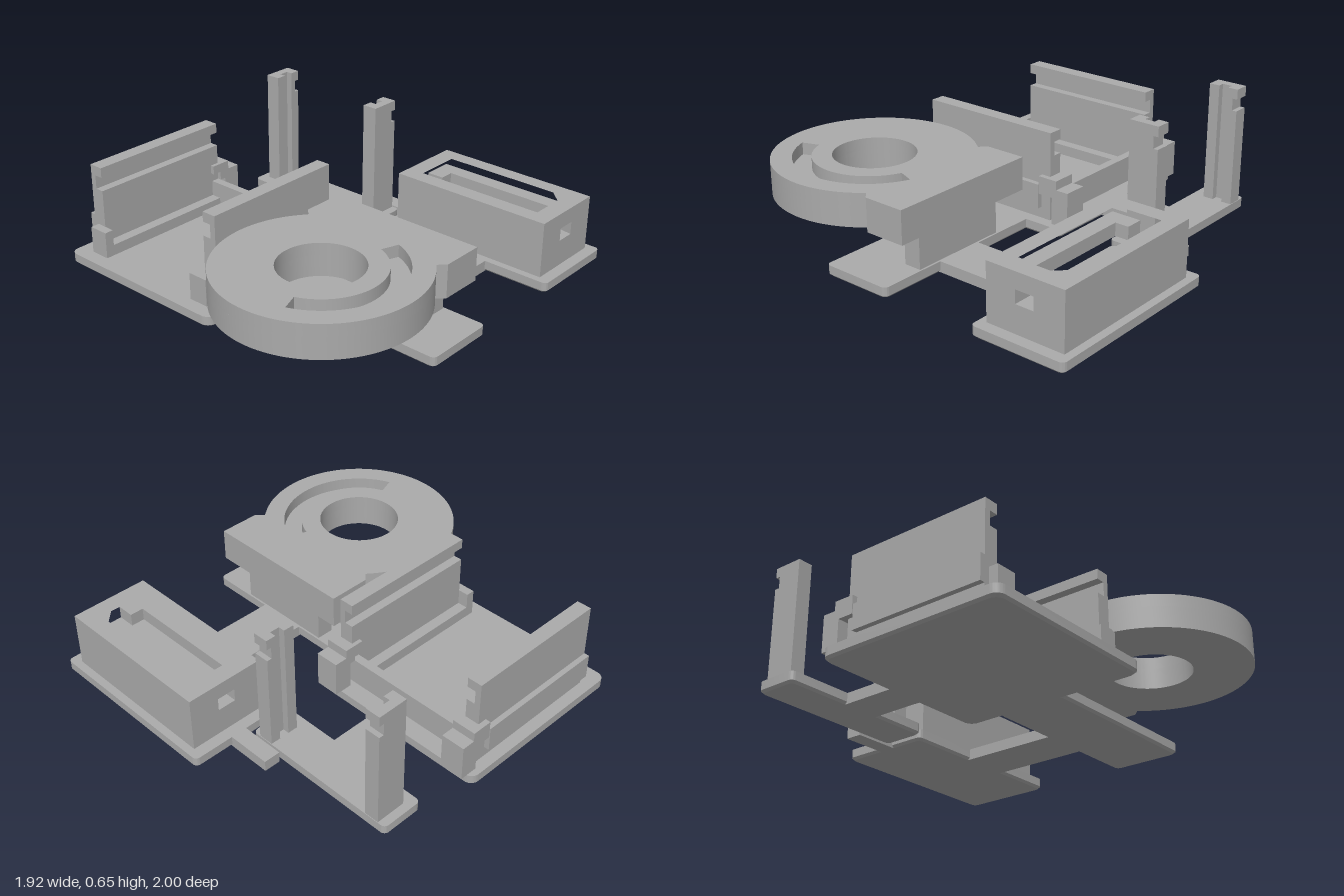
import * as THREE from 'three';
import { toCreasedNormals } from 'three/addons/utils/BufferGeometryUtils.js';

const grey = new THREE.MeshStandardMaterial({ color: 0xaaaaaa });
grey.name = 'plain grey';

export function createModel() {
  const model = new THREE.Group();
  model.name = 'snapFitPlates';

  function add(name, geometry, parent = model) {
    const mesh = new THREE.Mesh(geometry, grey);
    mesh.name = name;
    parent.add(mesh);
    return mesh;
  }
  // Block given by its limits on each axis
  function block(name, x0, x1, y0, y1, z0, z1, parent) {
    const g = new THREE.BoxGeometry(x1 - x0, y1 - y0, z1 - z0);
    g.translate((x0 + x1) / 2, (y0 + y1) / 2, (z0 + z1) / 2);
    return add(name, g, parent);
  }
  // Plan outline (shape y = -z) raised from y0 to y1
  function raise(name, shape, y0, y1, parent) {
    let g = new THREE.ExtrudeGeometry(shape, { depth: y1 - y0, bevelEnabled: false, curveSegments: 64 });
    g.rotateX(-Math.PI / 2).translate(0, y0, 0);
    return add(name, toCreasedNormals(g, 0.5), parent);
  }
  const plan = (pts) => pts.map(([x, z]) => new THREE.Vector2(x, -z));

  const T = 0.055; // plate thickness

  // Rounded plate with a small chamfer round its underside
  function plate(name, x0, x1, z0, z1, r) {
    const w = (x1 - x0) / 2, d = (z1 - z0) / 2, b = 0.012;
    const s = new THREE.Shape();
    s.absarc(w - r, d - r, r, 0, Math.PI / 2);
    s.absarc(-w + r, d - r, r, Math.PI / 2, Math.PI);
    s.absarc(-w + r, -d + r, r, Math.PI, Math.PI * 1.5);
    s.absarc(w - r, -d + r, r, Math.PI * 1.5, Math.PI * 2);
    const g = new THREE.ExtrudeGeometry(s, { depth: T, steps: 2, bevelEnabled: false, curveSegments: 6 });
    g.rotateX(-Math.PI / 2);
    const p = g.attributes.position;
    for (let i = 0; i < p.count; i++) {
      const y = p.getY(i);
      if (y < T * 0.25) {
        p.setX(i, p.getX(i) * (w - b) / w);
        p.setZ(i, p.getZ(i) * (d - b) / d);
      } else if (y < T * 0.75) p.setY(i, b);
    }
    g.translate((x0 + x1) / 2, 0, (z0 + z1) / 2);
    add(name, toCreasedNormals(g, 0.5));
  }

  // Plates and the strips joining them
  plate('trayPlate', -0.96, 0.01, -0.22, 0.75, 0.045);
  plate('postPlate', -0.89, -0.06, -0.695, -0.475, 0.025);
  plate('boxPlate', -0.02, 0.955, -1, -0.52, 0.025);
  plate('ringPlate', -0.02, 0.955, -0.03, 0.34, 0.025);
  block('trayNeck', -0.555, -0.36, 0, T, -0.5, -0.2);
  block('boxNeck', 0.355, 0.61, 0, T, -0.54, 0);
  block('sideArm', -0.245, 0, 0, T, -0.79, -0.705);

  // Tray: rear wall and mirrored side walls with clips
  block('trayRearWall', -0.875, -0.07, T, 0.19, -0.128, -0.085);
  for (const side of [-1, 1]) {
    const wall = new THREE.Group();
    wall.name = side < 0 ? 'rightTraySide' : 'leftTraySide';
    model.add(wall);
    const cx = -0.475;
    // a and b are distances outward from the tray's middle line
    const part = (name, a, b, y0, y1, z0, z1) =>
      block(name, cx + Math.min(side * a, side * b), cx + Math.max(side * a, side * b), y0, y1, z0, z1, wall);
    part('wallLower', 0.35, 0.425, T, 0.38, -0.128, 0.632);
    part('wallGrooveBack', 0.395, 0.425, 0.38, 0.45, -0.128, 0.632);
    part('wallTop', 0.35, 0.425, 0.45, 0.5, -0.128, 0.632);
    part('innerLedge', 0.295, 0.35, T, 0.11, -0.085, 0.632);
    part('outerRib', 0.425, 0.452, 0.11, 0.235, -0.075, 0.632);
    part('frontStop', 0.295, 0.4, T, 0.19, 0.632, 0.678);
    part('clipArm', 0.425, 0.452, 0.19, 0.28, -0.128, -0.08);
    part('clipTop', 0.33, 0.452, 0.235, 0.28, -0.185, -0.08);
    part('clipInner', 0.33, 0.452, 0.19, 0.235, -0.165, -0.128);
    part('clipHook', 0.33, 0.452, T, 0.235, -0.253, -0.16);
  }

  // Mirrored posts with a vertical groove on the inner face and a rear notch
  for (const side of [-1, 1]) {
    const post = new THREE.Group();
    post.name = side < 0 ? 'rightPost' : 'leftPost';
    model.add(post);
    const inner = side * 0.295 - 0.475, deep = side * 0.328 - 0.475, outer = side * 0.372 - 0.475;
    const outline = plan([[outer, -0.667], [inner, -0.667], [inner, -0.64], [deep, -0.64],
      [deep, -0.59], [inner, -0.59], [inner, -0.537], [outer, -0.537]]);
    raise('postShaft', new THREE.Shape(outline), T, 0.65, post);
    const x0 = Math.min(inner, outer), x1 = Math.max(inner, outer);
    block('postBackLower', x0, x1, T, 0.54, -0.692, -0.667, post);
    block('postBackTop', x0, x1, 0.6, 0.65, -0.692, -0.667, post);
  }

  // Box with a chamfered pocket and a small window through both ends
  const bx0 = 0.04, bx1 = 0.897, bz0 = -0.96, bz1 = -0.557;
  const boxRing = () => {
    const s = new THREE.Shape(plan([[bx0, bz0], [bx1, bz0], [bx1, bz1], [bx0, bz1]]));
    s.holes.push(new THREE.Path(plan([[0.13, -0.88], [0.74, -0.88], [0.805, -0.815], [0.805, -0.64], [0.13, -0.64]])));
    return s;
  };
  raise('boxLower', boxRing(), T, 0.19);
  raise('boxUpper', boxRing(), 0.255, 0.335);
  const w0 = -0.805, w1 = -0.71; // window limits along z
  raise('boxMiddleRear', new THREE.Shape(plan([[bx0, bz0], [bx1, bz0], [bx1, w0], [0.795, w0 - 0.02],
    [0.74, -0.88], [0.13, -0.88], [0.13, w0], [bx0, w0]])), 0.19, 0.255);
  raise('boxMiddleFront', new THREE.Shape(plan([[bx0, w1], [0.13, w1], [0.13, -0.64], [0.805, -0.64],
    [0.805, w1], [bx1, w1], [bx1, bz1], [bx0, bz1]])), 0.19, 0.255);

  // Raised ring with a square back, on a support
  block('ringSupport', 0.22, 0.73, T, 0.235, -0.02, 0.07);
  const rx = 0.47, ry = -0.513, R = 0.486, start = THREE.MathUtils.degToRad(144.7);
  const ringShape = (groove) => {
    const s = new THREE.Shape();
    s.moveTo(0.07, 0.058);
    s.lineTo(0.07, -0.155);
    s.lineTo(0.105, -0.19);
    s.absarc(rx, ry, R, start, Math.PI * 3 - start, false);
    s.lineTo(0.835, -0.19);
    s.lineTo(0.87, -0.155);
    s.lineTo(0.87, 0.058);
    const hole = new THREE.Path();
    hole.absarc(rx, ry, 0.2, 0, Math.PI * 2, true);
    s.holes.push(hole);
    if (groove) {
      const a = THREE.MathUtils.degToRad(70), slot = new THREE.Path();
      slot.absarc(rx, ry, 0.385, -a, a, false);
      slot.absarc(rx, ry, 0.295, a, -a, true);
      s.holes.push(slot);
    }
    return s;
  };
  raise('ringLower', ringShape(false), 0.235, 0.34);
  raise('ringGroovedTop', ringShape(true), 0.34, 0.4);

  return model;
}
